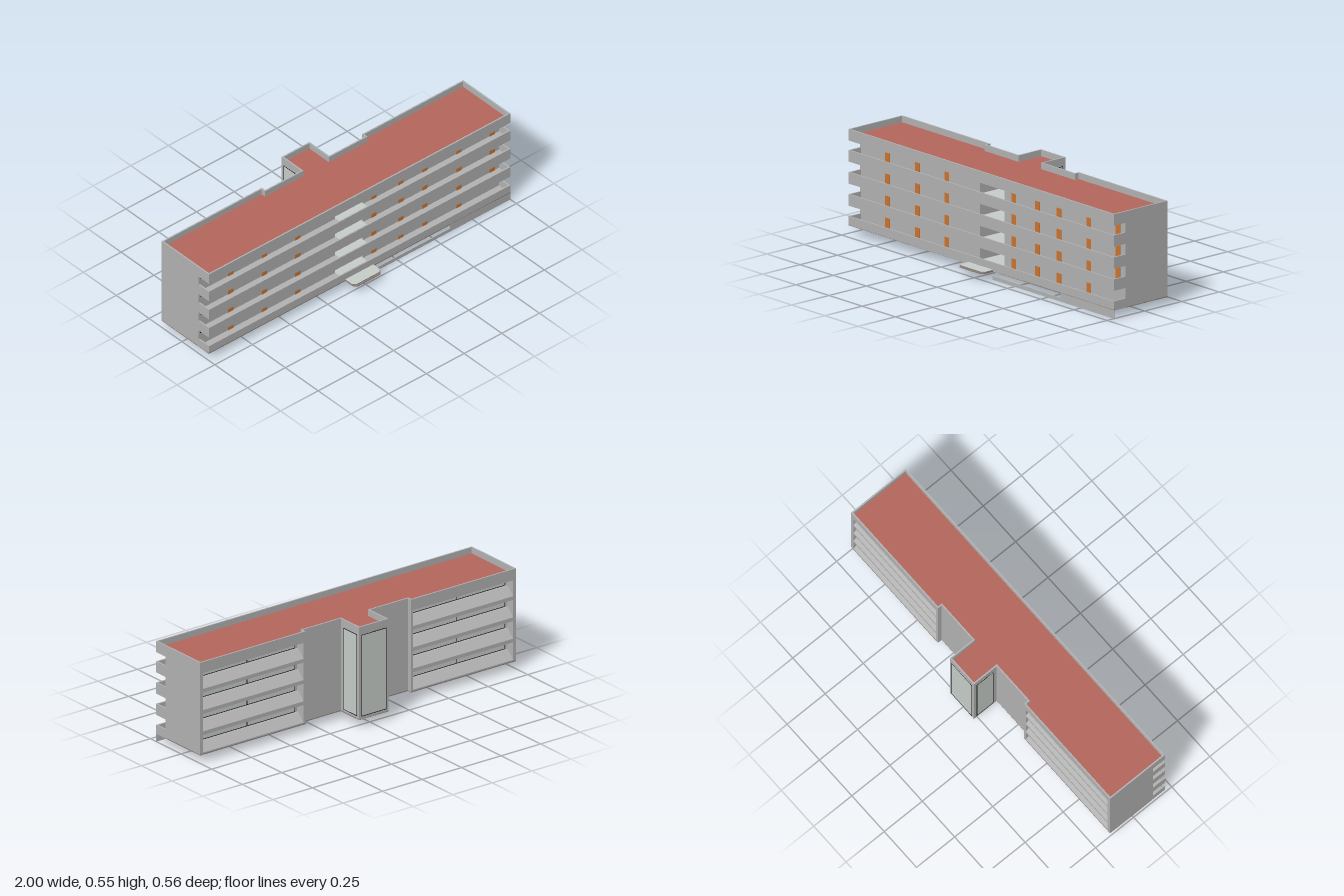
import * as THREE from 'three';

const mat = (name, color, side = THREE.FrontSide) => {
  const m = new THREE.MeshStandardMaterial({ color, side });
  m.name = name;
  return m;
};

export function createModel() {
  const model = new THREE.Group();
  model.name = 'apartmentBlock';

  const wall = mat('grey concrete', 0xb2b2b2);
  const red = mat('red roofing', 0xb4655c);
  const glass = mat('pale glass', 0xc6cdc8);
  const black = mat('black frame', 0x141414);
  const orange = mat('orange door', 0xcb7430);
  const brown = mat('brown stone', 0x8c7f79);

  // Box given by its limits
  const box = (name, m, x0, x1, y0, y1, z0, z1, parent = model) => {
    const mesh = new THREE.Mesh(new THREE.BoxGeometry(x1 - x0, y1 - y0, z1 - z0), m);
    mesh.position.set((x0 + x1) / 2, (y0 + y1) / 2, (z0 + z1) / 2);
    mesh.name = name;
    parent.add(mesh);
    return mesh;
  };

  // Pane with thin frame bars and optional middle mullion
  const glazing = (name, w, h, x, y, z, turn = 0, mullion = false, t = 0.003) => {
    const g = new THREE.Group();
    g.name = name;
    box('pane', glass, -w / 2, w / 2, -h / 2, h / 2, -0.002, 0.002, g);
    for (const s of [-1, 1]) {
      const fx = s * (w - t) / 2, fy = s * (h - t) / 2;
      box('frameRail', black, -w / 2, w / 2, fy - t / 2, fy + t / 2, -0.003, 0.003, g);
      box('frameStile', black, fx - t / 2, fx + t / 2, -h / 2, h / 2, -0.003, 0.003, g);
    }
    if (mullion) box('mullion', black, -t / 2, t / 2, -h / 2, h / 2, -0.003, 0.003, g);
    g.position.set(x, y, z);
    g.rotation.y = turn;
    model.add(g);
  };

  // Plan outline, drawn as (x, -z), with an inset
  const outline = (d) => [
    [-1 + d, -0.205 + d], [1 - d, -0.205 + d], [1 - d, 0.155 - d], [0.33 + d, 0.155 - d],
    [0.33 + d, 0.13 - d], [0.09 - d, 0.13 - d], [0.09 - d, 0.28 - d], [-0.095 + d, 0.28 - d],
    [-0.095 + d, 0.13 - d], [-0.335 - d, 0.13 - d], [-0.335 - d, 0.155 - d], [-1 + d, 0.155 - d],
  ].map(([x, y]) => new THREE.Vector2(x, y));

  // Horizontal slab from a plan shape
  const slab = (name, m, shape, y0, y1) => {
    const geo = new THREE.ExtrudeGeometry(shape, { depth: y1 - y0, bevelEnabled: false });
    geo.rotateX(-Math.PI / 2).translate(0, y0, 0);
    const mesh = new THREE.Mesh(geo, m);
    mesh.name = name;
    model.add(mesh);
  };

  const BASE = 0.045, STOREY = 0.115;
  const floors = [0, 1, 2, 3].map((i) => BASE + i * STOREY);
  const wings = [
    { name: 'rightWing', inner: -0.095, recess: -0.335, end: -1 },
    { name: 'leftWing', inner: 0.09, recess: 0.33, end: 1 },
  ];

  // Base, roof slab, parapet and roofing
  slab('baseSlab', brown, new THREE.Shape(outline(0)), 0.042, 0.047);
  slab('roofSlab', wall, new THREE.Shape(outline(0)), 0.485, 0.507);
  const rim = new THREE.Shape(outline(0));
  rim.holes.push(new THREE.Path(outline(0.008)));
  slab('roofParapet', wall, rim, 0.507, 0.545);
  slab('roofing', red, new THREE.Shape(outline(0.007)), 0.507, 0.512);

  // Wings with rear fins and sloped rear sills
  for (const w of wings) {
    const s = Math.sign(w.end);
    const span = (a, b) => [Math.min(a, b), Math.max(a, b)];
    box(w.name + 'Body', wall, ...span(w.inner, w.end), BASE, 0.487, -0.1, 0.127);
    box(w.name + 'RecessWall', wall, ...span(w.inner, w.recess), BASE, 0.487, -0.13, -0.1);
    box(w.name + 'InnerFin', wall, ...span(w.recess, w.recess + s * 0.014), BASE, 0.487, -0.155, -0.1);
    box(w.name + 'EndFin', wall, ...span(w.end, w.end - s * 0.018), BASE, 0.487, -0.155, -0.1);

    const [x0, x1] = span(w.recess + s * 0.014, w.end - s * 0.018);
    floors.forEach((f, i) => {
      const low = i ? f - 0.012 : BASE;
      const profile = new THREE.Shape([
        [-0.1, low], [-0.1, f + 0.05], [-0.112, f + 0.05], [-0.154, f + 0.008], [-0.154, low],
      ].map((p) => new THREE.Vector2(...p)));
      const geo = new THREE.ExtrudeGeometry(profile, { depth: x1 - x0, bevelEnabled: false });
      geo.rotateY(-Math.PI / 2).translate(x1, 0, 0);
      const sill = new THREE.Mesh(geo, wall);
      sill.name = w.name + 'RearSill';
      model.add(sill);
      glazing('rearWindow', x1 - x0 - 0.03, 0.046, (x0 + x1) / 2, f + 0.076, -0.101, Math.PI, true);
    });
  }

  // Front galleries, doors and high window strips
  const doors = [-0.79, -0.565, -0.345, 0.16, 0.34, 0.5, 0.725, 0.945];
  const strips = [[-0.99, -0.815], [-0.76, -0.595], [-0.54, -0.37], [0.097, 0.138],
    [0.185, 0.32], [0.362, 0.475], [0.525, 0.7], [0.755, 0.92]];
  floors.forEach((f, i) => {
    const low = i ? f - 0.015 : 0.042, top = f + 0.045;
    box('galleryFloor', wall, -1, 1, low, i ? f : 0.048, 0.12, 0.2);
    box('galleryParapet', wall, -1, 1, low, top, 0.197, 0.205);
    for (const s of [-1, 1]) {
      box('galleryEndParapet', wall, s * 0.996 - 0.004, s * 0.996 + 0.004, low, top, 0.127, 0.2);
    }
    for (const x of doors) {
      if (x > 0.9 && i === 0) continue;
      box('door', orange, x - 0.017, x + 0.017, f, f + 0.096, 0.125, 0.13);
    }
    for (const [a, b] of strips) {
      glazing('galleryWindow', b - a, 0.018, (a + b) / 2, f + 0.089, 0.128, 0, true);
    }
  });

  // Stair tower frame and tall glazing
  for (const x of [-0.095, 0.075]) {
    box('towerCorner', wall, x, x + 0.015, BASE, 0.487, -0.28, -0.262);
    box('towerReveal', wall, x, x + 0.015, BASE, 0.487, -0.152, -0.1);
  }
  box('towerPlinth', wall, -0.095, 0.09, 0.043, 0.06, -0.28, -0.1);
  glazing('towerRearGlass', 0.158, 0.442, -0.0025, 0.28, -0.279, Math.PI);
  glazing('towerRightGlass', 0.11, 0.442, -0.094, 0.28, -0.207, -Math.PI / 2);
  glazing('towerLeftGlass', 0.11, 0.442, 0.089, 0.28, -0.207, Math.PI / 2);

  // Stairwell floors and switchback flights
  const STEPS = 6, rise = STOREY / 2 / STEPS, run = 0.02;
  floors.forEach((f, i) => {
    if (i) box('stairHallFloor', wall, -0.095, 0.09, f - 0.015, f, -0.08, 0.127);
    box('stairHallPaving', glass, -0.095, 0.09, f, f + 0.004, -0.08, 0.195);
    if (i === 3) return;
    const mid = f + STOREY / 2;
    for (let k = 0; k < STEPS; k++) {
      const z = -0.08 - k * run, y = f + (k + 1) * rise;
      box('lowerFlightStep', brown, 0.01, 0.085, y - 0.014, y, z - run, z);
      const zu = -0.2 + k * run, yu = mid + (k + 1) * rise;
      box('upperFlightStep', brown, -0.09, -0.015, yu - 0.014, yu, zu, zu + run);
    }
    box('stairLanding', brown, -0.09, 0.085, mid - 0.01, mid, -0.265, -0.2);
  });

  // Entrance steps with clipped corners
  const step = (front) => new THREE.Shape([
    [-0.095, -0.204], [-0.095, -front + 0.018], [-0.078, -front],
    [0.073, -front], [0.09, -front + 0.018], [0.09, -0.204],
  ].map((p) => new THREE.Vector2(...p)));
  slab('lowerEntranceStep', brown, step(0.28), 0.042, 0.047);
  slab('upperEntranceStep', brown, step(0.271), 0.047, 0.051);
  slab('entrancePaving', glass, step(0.271), 0.051, 0.053);

  // Low ground wall and rail under the front
  box('groundWall', wall, 0.6, 1, 0, 0.045, 0.201, 0.205);
  box('groundRail', wall, 0.085, 0.6, 0, 0.02, 0.201, 0.205);

  return model;
}
